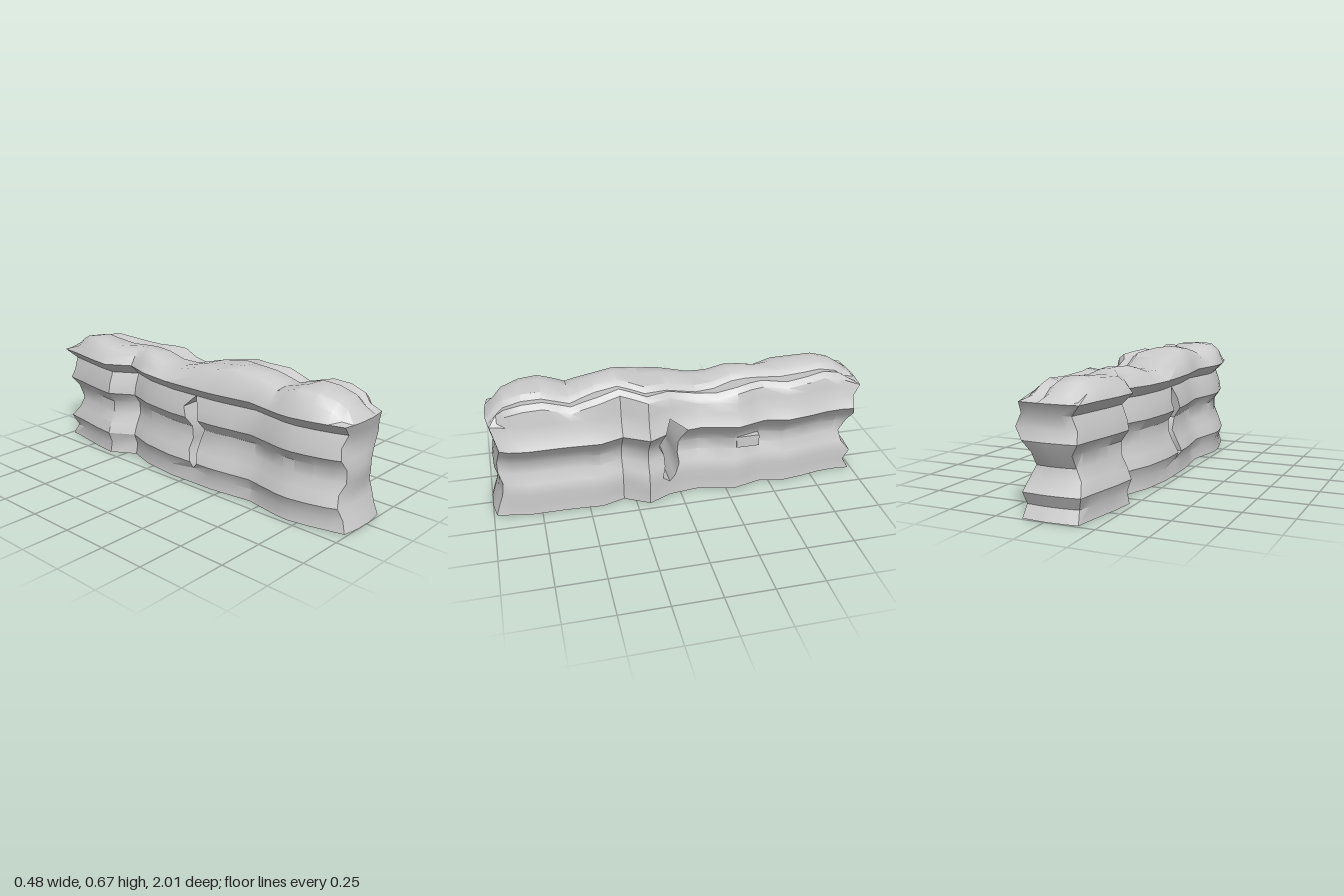
import * as THREE from 'three';
import { toCreasedNormals } from 'three/addons/utils/BufferGeometryUtils.js';

// piecewise-linear lookup in [key, value] pairs
function at(table, k) {
  if (k <= table[0][0]) return table[0][1];
  for (let i = 1; i < table.length; i++) {
    const [a, va] = table[i - 1], [b, vb] = table[i];
    if (k <= b) return va + (vb - va) * (k - a) / (b - a);
  }
  return table[table.length - 1][1];
}

// plan outline and ridge height along z
const rightX = [[-.97, .16], [-.85, .15], [-.6, .2], [-.45, .17], [-.3, .21], [-.2, .19], [-.1, .165],
  [.06, .185], [.1, .2], [.18, .243], [.31, .17], [.43, .21], [.6, .2], [.8, .2], [.9, .185], [.97, .165]];
const leftX = [[-.97, -.18], [-.85, -.2], [-.68, -.23], [-.57, -.24], [-.45, -.16], [-.3, -.21], [-.1, -.235],
  [.2, -.23], [.43, -.2], [.67, -.245], [.8, -.225], [.9, -.2], [.97, -.18]];
const ridgeY = [[-.97, .58], [-.9, .61], [-.8, .632], [-.6, .612], [-.45, .625], [-.33, .63], [-.2, .592], [-.07, .588],
  [.05, .63], [.15, .635], [.2, .65], [.32, .668], [.45, .65], [.56, .613], [.7, .655], [.8, .652], [.9, .625], [.97, .585]];
const crackX = [[-.97, .02], [-.3, .025], [0, .05], [.1, .075], [.18, .1], [.31, .03], [.56, .06], [.97, .05]];

// strata: one row per layer edge, with inset of each wall
const rowY = [0, .06, .12, .18, .235, .3, .355, .41, .475, .53, 0];
const rightIn = [.04, .046, .04, .052, .08, .078, .043, 0, .033, .042, .055];
const leftIn = [.018, .03, .008, .03, .058, .058, .02, .03, .055, 0, .03];
const frontZ = [.985, .965, .945, .935, .955, .955, .945, .935, .955, .97, .93];
const backZ = [-.985, -.95, -.98, -.93, -.92, -.96, -.985, -.96, -.965, -1, -.95];
const TOP = rowY.length - 1;

// gap through the wall: its two edges, row by row
const gapNear = { 2: .1, 3: .085, 4: .085, 5: .115, 6: .1, 7: .09 };
const gapFar = { 2: .03, 3: .005, 4: .01, 5: .005, 6: -.01, 7: -.03 };
const GAP_LOW = 1, GAP_HIGH = 8;

const stations = [-.97, -.89, -.8, -.7, -.58, -.45, -.38, -.3, -.2, -.1, 'far', 'near', .18, .24, .31, .43,
  .5, .56, .63, .7, .8, .89, .97];
const N = stations.length - 1, FAR = stations.indexOf('far'), COLS = 6;

function stationZ(i, r, left) {
  if (i === 0) return backZ[r];
  if (i === N) return frontZ[r];
  if (stations[i] === 'far') return r in gapFar ? gapFar[r] + (left ? .025 : 0) : .06;
  if (stations[i] === 'near') return gapNear[r] ?? .06;
  return stations[i];
}

// point on a long wall
function wall(i, r, left) {
  const z = stationZ(i, r, left);
  const k = i === 0 ? -.97 : i === N ? .97 : z;
  const x = left ? at(leftX, k) + leftIn[r] : at(rightX, k) - rightIn[r];
  const y = r === TOP ? at(ridgeY, k) - .045 : r === GAP_LOW && i >= FAR && i <= FAR + 1 ? .08 : rowY[r];
  return [x, y, z];
}

// point on the top, column u running from right edge to left edge
function topPoint(i, u) {
  const a = wall(i, TOP, false), b = wall(i, TOP, true);
  if (u === 0) return a;
  if (u === COLS) return b;
  const k = THREE.MathUtils.clamp(a[2], -.97, .97);
  const crack = Math.min(at(crackX, k), a[0] - .055);
  const left = b[0];
  const x = [0, a[0] - .03, crack, crack - .03, (crack - .03 + left) / 2, left + .045][u];
  const drop = [0, .02, .032, .008, 0, .008][u];
  const end = i === 0 || i === N ? .015 : 0;
  return [x, at(ridgeY, k) - drop - end, a[2]];
}

// point on an end face, lightly bowed outward
function endPoint(i, u, r) {
  if (r === TOP) return topPoint(i, u);
  const a = wall(i, r, false), b = wall(i, r, true);
  const t0 = topPoint(i, 0)[0], t1 = topPoint(i, COLS)[0];
  const t = (t0 - topPoint(i, u)[0]) / (t0 - t1);
  const bow = .018 * Math.sin(Math.PI * t) * (i === 0 ? -.6 : 1);
  return [a[0] + (b[0] - a[0]) * t, a[1], a[2] + bow];
}

function createModel() {
  const group = new THREE.Group();
  const pos = [];
  const tri = (a, b, c) => {
    const [p, q, s] = [a, b, c].map(v => new THREE.Vector3(...v));
    if (q.sub(p).cross(s.sub(p)).length() > 1e-8) pos.push(...a, ...b, ...c);
  };
  const grid = (nu, nv, f, flip, skip = () => false) => {
    for (let i = 0; i < nu; i++) for (let j = 0; j < nv; j++) {
      if (skip(i, j)) continue;
      const a = f(i, j), b = f(i + 1, j), c = f(i + 1, j + 1), d = f(i, j + 1);
      if (flip) { tri(a, c, b); tri(a, d, c); } else { tri(a, b, c); tri(a, c, d); }
    }
  };
  const inGap = (i, r) => i === FAR && r >= GAP_LOW && r < GAP_HIGH;

  // long walls, ends, top and underside
  grid(N, TOP, (i, r) => wall(i, r, false), true, inGap);
  grid(N, TOP, (i, r) => wall(i, r, true), false, inGap);
  grid(COLS, TOP, (u, r) => endPoint(N, u, r), true);
  grid(COLS, TOP, (u, r) => endPoint(0, u, r), false);
  grid(N, COLS, topPoint, true);
  grid(N, COLS, (i, u) => {
    if (i === 0 || i === N) return endPoint(i, u, 0);
    const a = wall(i, 0, false), b = wall(i, 0, true);
    return a.map((v, k) => v + (b[k] - v) * u / COLS);
  }, false);

  // lining of the gap
  const lining = i => (s, r) => wall(i, GAP_LOW + r, s === 1);
  grid(1, GAP_HIGH - GAP_LOW, lining(FAR + 1), false);
  grid(1, GAP_HIGH - GAP_LOW, lining(FAR), true);

  const geo = new THREE.BufferGeometry();
  geo.setAttribute('position', new THREE.Float32BufferAttribute(pos, 3));
  const material = new THREE.MeshStandardMaterial({ color: 0xcccccc });
  const rock = new THREE.Mesh(toCreasedNormals(geo, .6), material);
  rock.name = 'rockWall';
  group.add(rock);

  // small block set in the recessed layer
  const ledge = new THREE.Mesh(new THREE.BoxGeometry(.05, .065, .125), material);
  ledge.name = 'sideLedge';
  ledge.position.set(.108, .268, -.375);
  group.add(ledge);
  return group;
}

export { createModel };
